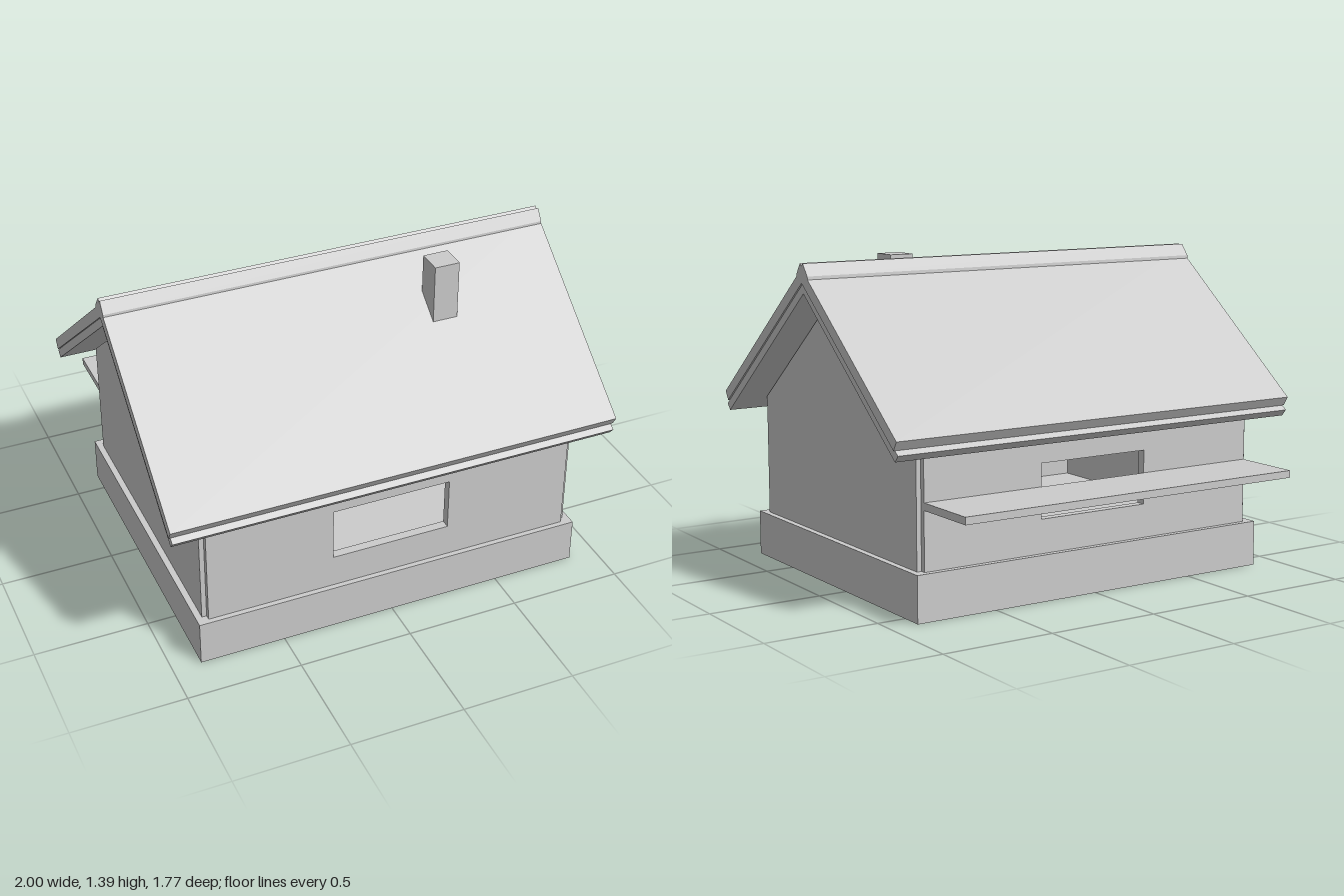
import * as THREE from 'three';

const lightGrey = new THREE.MeshStandardMaterial({ color: 0xcccccc });
lightGrey.name = 'lightGrey';

const RIDGE_Z = 0.11;

export function createModel() {
  const house = new THREE.Group();
  house.name = 'house';

  const add = (name, geometry) => {
    const mesh = new THREE.Mesh(geometry, lightGrey);
    mesh.name = name;
    house.add(mesh);
  };

  // Box given by its limits on each axis
  const box = (name, [x0, x1], [y0, y1], [z0, z1]) => {
    const g = new THREE.BoxGeometry(x1 - x0, y1 - y0, z1 - z0);
    add(name, g.translate((x0 + x1) / 2, (y0 + y1) / 2, (z0 + z1) / 2));
  };

  const shapeOf = (points) => new THREE.Shape(points.map(([a, b]) => new THREE.Vector2(a, b)));

  // Profile in (z, y) swept along x, centred on cx
  const sweep = (name, points, width, cx = 0) => {
    const g = new THREE.ExtrudeGeometry(shapeOf(points), { depth: width, bevelEnabled: false });
    add(name, g.rotateY(-Math.PI / 2).translate(cx + width / 2, 0, 0));
  };

  // Gabled layer: half run and height of upper eave edge, lower eave edge, and the two apex heights
  const roofLayer = (name, width, [run, top], [innerRun, bottom], apexTop, apexBottom) => sweep(name, [
    [RIDGE_Z + run, top], [RIDGE_Z, apexTop], [RIDGE_Z - run, top],
    [RIDGE_Z - innerRun, bottom], [RIDGE_Z, apexBottom], [RIDGE_Z + innerRun, bottom],
  ], width);

  // Foundation
  box('foundation', [-0.875, 0.875], [0, 0.2], [-0.602, 0.82]);

  // Long walls with a window opening through each
  const wall = 0.04;
  const longWall = (name, z) => {
    const shape = shapeOf([[-0.827, 0.2], [0.827, 0.2], [0.827, 0.74], [-0.827, 0.74]]);
    shape.holes.push(shapeOf([[-0.267, 0.347], [-0.267, 0.583], [0.263, 0.583], [0.263, 0.347]]));
    const g = new THREE.ExtrudeGeometry(shape, { depth: wall, bevelEnabled: false });
    add(name, g.translate(0, 0, z));
  };
  longWall('frontWall', 0.797 - wall);
  longWall('backWall', -0.577);

  // Gable walls
  const gable = [[0.773, 0.2], [0.773, 0.737], [RIDGE_Z, 1.257], [-0.553, 0.737], [-0.553, 0.2]];
  for (const [name, side] of [['leftGable', 1], ['rightGable', -1]]) {
    sweep(name, gable, wall, side * (0.848 - wall / 2));
  }

  // Two roof layers and the ridge cap
  roofLayer('roofCovering', 2, [0.775, 0.76], [0.751, 0.721], 1.371, 1.31);
  roofLayer('roofBoards', 1.985, [0.773, 0.703], [0.749, 0.675], 1.31, 1.266);
  sweep('ridgeCap', [
    [0.157, 1.33], [0.155, 1.345], [0.121, 1.393], [0.109, 1.382],
    [0.097, 1.393], [0.057, 1.342], [0.055, 1.325], [RIDGE_Z, 1.36],
  ], 2);

  // Chimney on the front slope
  box('chimney', [0.355, 0.467], [1.12, 1.392], [0.3, 0.414]);

  // Shelf along the back wall
  box('backShelf', [-0.826, 0.826], [0.452, 0.484], [-0.885, -0.577]);

  return house;
}
